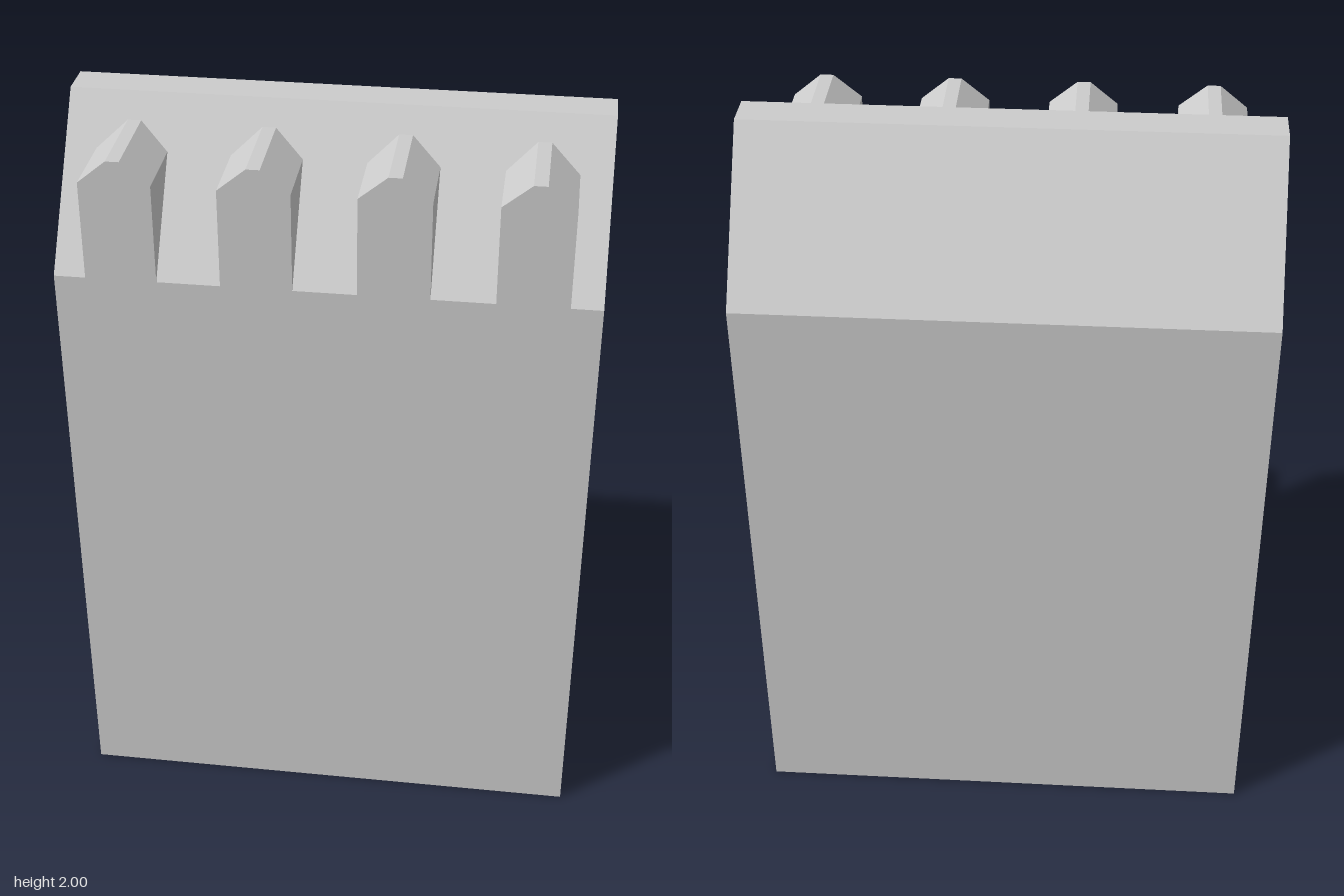
import * as THREE from 'three';

const W = 0.68, D = 0.34;          // half width, half depth
const EAVE = 1.62, TOP = 2, RIDGE = 0.05;
const DORMERS = [-0.51, -0.17, 0.17, 0.51];

// Outline of one dormer, left to right: [x offset, y]
const DORMER = [[-0.09, EAVE], [-0.09, 1.88], [-0.017, 1.94], [0.017, 1.94], [0.09, 1.88], [0.09, EAVE]];

// Depth of the front roof slope at height y
const slopeZ = (y) => D + (RIDGE - D) * (y - EAVE) / (TOP - EAVE);

const material = new THREE.MeshStandardMaterial({ color: 0xcccccc, flatShading: true, side: THREE.DoubleSide });

function part(name, geometry) {
  const mesh = new THREE.Mesh(geometry, material);
  mesh.name = name;
  return mesh;
}

// Flat sheet from an outline of [x, y] points
const sheet = (points) => new THREE.ShapeGeometry(new THREE.Shape(points.map(([x, y]) => new THREE.Vector2(x, y))));

// Row of flat quads between two polylines of [x, y, z] points
function strip(a, b) {
  const corners = [];
  for (let i = 0; i < a.length - 1; i++) {
    corners.push(...a[i], ...a[i + 1], ...b[i + 1], ...a[i], ...b[i + 1], ...b[i]);
  }
  const geometry = new THREE.BufferGeometry();
  geometry.setAttribute('position', new THREE.Float32BufferAttribute(corners, 3));
  geometry.computeVertexNormals();
  return geometry;
}

export function createModel() {
  const group = new THREE.Group();

  // Eave line stepping up around every dormer, shared by front wall and front roof
  const eaveLine = [[-W, EAVE]];
  for (const x of DORMERS) eaveLine.push(...DORMER.map(([dx, y]) => [x + dx, y]));
  eaveLine.push([W, EAVE]);

  // Front wall rising into the dormer faces
  const front = part('frontWall', sheet([[W, 0], ...eaveLine.slice().reverse(), [-W, 0]]));
  front.position.z = D;
  group.add(front);

  // Front roof slope, notched for the dormers and leaned back
  const roof = sheet([...eaveLine, [W, TOP], [-W, TOP]]);
  const pos = roof.attributes.position;
  for (let i = 0; i < pos.count; i++) pos.setZ(i, slopeZ(pos.getY(i)));
  roof.computeVertexNormals();
  group.add(part('frontRoof', roof));

  // Dormer cheeks and small roofs, running back to the slope
  for (const x of DORMERS) {
    const face = DORMER.map(([dx, y]) => [x + dx, y, D]);
    const back = face.map(([px, y]) => [px, y, slopeZ(y)]);
    group.add(part('dormer', strip(face, back)));
  }

  // Ridge, back roof and back wall
  const shell = [[TOP, RIDGE], [TOP, -RIDGE], [EAVE, -D], [0, -D]];
  ['ridge', 'backRoof', 'backWall'].forEach((name, i) => {
    const edge = (x) => shell.slice(i, i + 2).map(([y, z]) => [x, y, z]);
    group.add(part(name, strip(edge(W), edge(-W))));
  });

  // Gable walls; the underside stays open
  for (const side of [-1, 1]) {
    const gable = part(side > 0 ? 'leftGable' : 'rightGable',
      sheet([[-D, 0], [D, 0], [D, EAVE], [RIDGE, TOP], [-RIDGE, TOP], [-D, EAVE]]));
    gable.rotation.y = side * Math.PI / 2;
    gable.position.x = side * W;
    group.add(gable);
  }
  return group;
}
